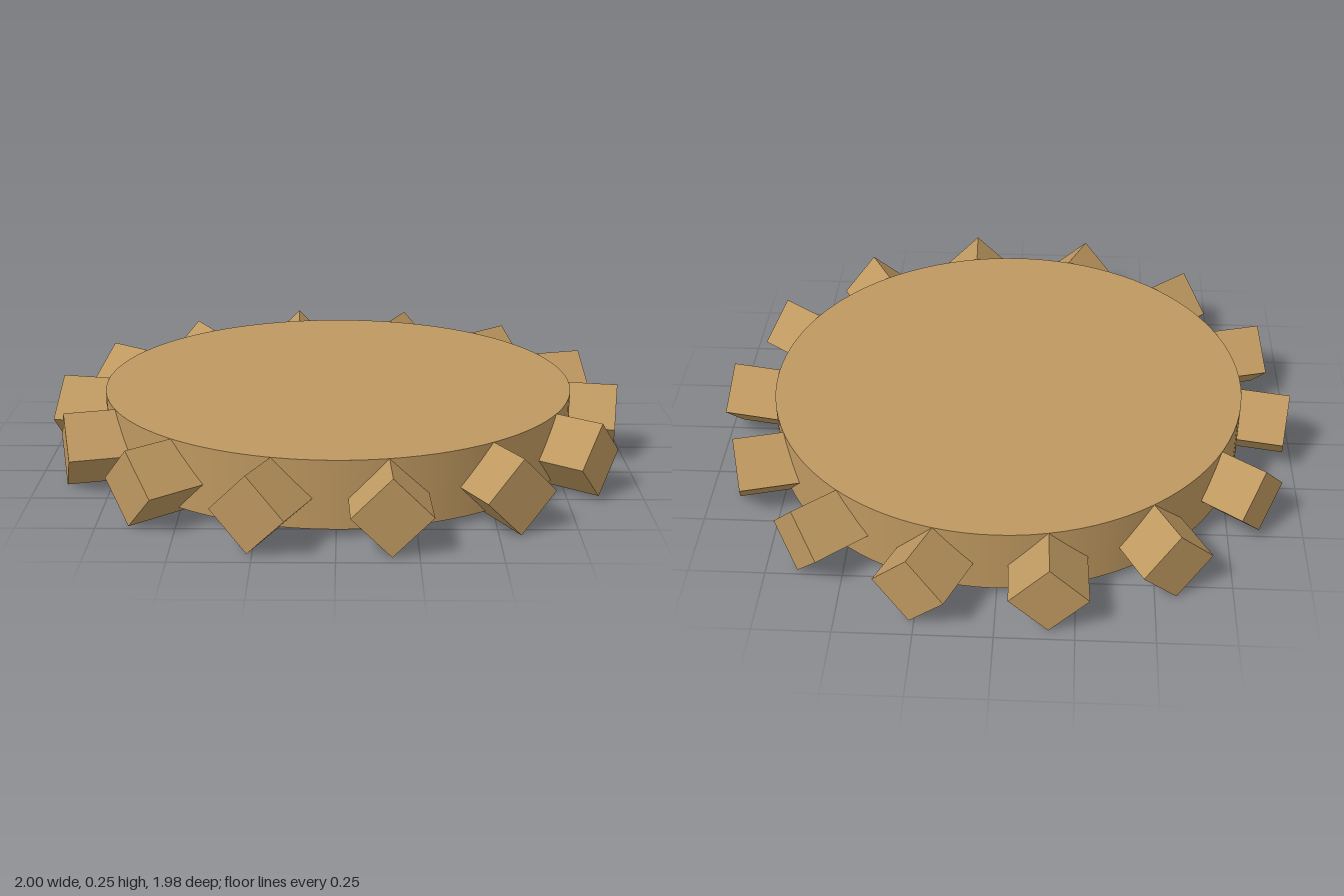
import * as THREE from 'three';

export function createModel() {
  const model = new THREE.Group();
  const tan = new THREE.MeshStandardMaterial({ color: 0xbe9860 });
  tan.name = 'tan';

  // Round disc, raised slightly above the lowest tooth ridges
  const disc = new THREE.Mesh(new THREE.CylinderGeometry(0.81, 0.81, 0.225, 96), tan);
  disc.name = 'disc';
  disc.position.y = 0.1375;
  model.add(disc);

  // Square bars set on edge, each skewed a little from the radial direction
  const count = 14;
  const side = 0.25 / Math.SQRT2;
  const length = 0.26;
  const tipRadius = 0.977;
  const start = THREE.MathUtils.degToRad(2.95);
  const skew = THREE.MathUtils.degToRad(7.6);

  const toothGeometry = new THREE.BoxGeometry(length, side, side);
  toothGeometry.rotateX(Math.PI / 4);
  toothGeometry.translate(-length / 2, 0, 0); // origin at the outer end

  for (let i = 0; i < count; i++) {
    const angle = start + (i / count) * Math.PI * 2;
    const tooth = new THREE.Mesh(toothGeometry, tan);
    tooth.name = `tooth${i + 1}`;
    tooth.position.set(tipRadius * Math.cos(angle), 0.125, tipRadius * Math.sin(angle));
    tooth.rotation.y = -(angle + skew);
    model.add(tooth);
  }
  return model;
}
